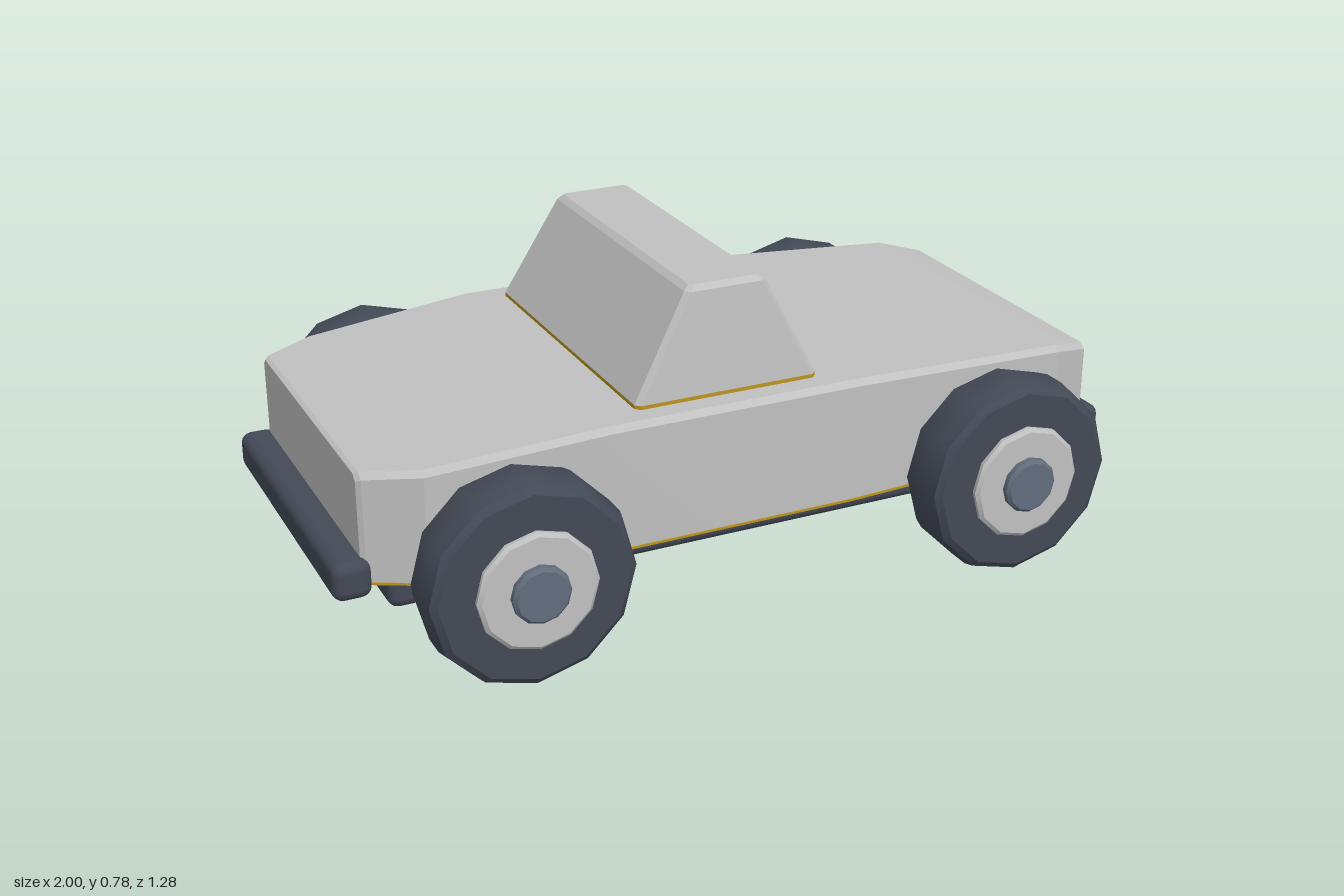
import * as THREE from 'three';
import { toCreasedNormals } from 'three/addons/utils/BufferGeometryUtils.js';
import { RoundedBoxGeometry } from 'three/addons/geometries/RoundedBoxGeometry.js';

const material = (name, color) => {
  const m = new THREE.MeshStandardMaterial({ color });
  m.name = name;
  return m;
};

// Skin a row of convex rings (each counter-clockwise seen from the far end) and cap both ends.
function loft(rings, crease) {
  const out = [];
  const tri = (...pts) => pts.forEach((p) => out.push(...p));
  const n = rings[0].length;
  for (let i = 0; i < rings.length - 1; i++) {
    for (let j = 0; j < n; j++) {
      const k = (j + 1) % n;
      const a = rings[i][j], b = rings[i][k], c = rings[i + 1][k], d = rings[i + 1][j];
      tri(a, b, c);
      tri(a, c, d);
    }
  }
  const first = rings[0], last = rings[rings.length - 1];
  for (let j = 1; j < n - 1; j++) {
    tri(first[0], first[j + 1], first[j]);
    tri(last[0], last[j], last[j + 1]);
  }
  const geo = new THREE.BufferGeometry();
  geo.setAttribute('position', new THREE.Float32BufferAttribute(out, 3));
  return toCreasedNormals(geo, crease);
}

// Body cross-section at x, with chamfered top edges.
function bodyRing(x, w, top, bottom, c) {
  return [
    [x, top, w - c], [x, top - c, w], [x, bottom, w],
    [x, bottom, -w], [x, top - c, -w], [x, top, -w + c],
  ];
}

// Horizontal cabin cross-section with chamfered corners.
function cabinRing(y, x0, x1, w, c) {
  return [
    [x1 - c, y, w], [x1, y, w - c], [x1, y, -w + c], [x1 - c, y, -w],
    [x0 + c, y, -w], [x0, y, -w + c], [x0, y, w - c], [x0 + c, y, w],
  ];
}

// Turn a radius/offset profile about the wheel axle; offset grows towards +z.
function turned(profile, sides, crease) {
  const points = profile.map(([r, z]) => new THREE.Vector2(r, z));
  const geo = new THREE.LatheGeometry(points, sides);
  geo.rotateX(Math.PI / 2);
  return toCreasedNormals(geo, crease);
}

export function createModel() {
  const paint = material('grey paint', 0xc0c0c0);
  const rubber = material('dark slate', 0x434956);
  const steel = material('blue grey', 0x616c7c);
  const ochre = material('ochre underside', 0xbc9420);

  const car = new THREE.Group();
  car.name = 'car';
  const add = (parent, name, geo, mat) => {
    const mesh = new THREE.Mesh(geo, mat);
    mesh.name = name;
    parent.add(mesh);
    return mesh;
  };

  // Body stations: x, half width, top height
  const stations = [
    [-0.93, 0.365, 0.474], [-0.92, 0.375, 0.48], [-0.8, 0.437, 0.487], [-0.38, 0.47, 0.52],
    [0.23, 0.47, 0.52], [0.82, 0.433, 0.49], [0.925, 0.392, 0.465], [0.935, 0.382, 0.457],
  ];
  add(car, 'body', loft(stations.map(([x, w, t]) => bodyRing(x, w, t, 0.222, 0.014)), 0.3), paint);
  add(car, 'bodyUnderside',
    loft(stations.map(([x, w]) => bodyRing(x, w, 0.222, 0.215, 0.001)), 0.3), ochre);

  // Cabin wedge with bevelled corners and roof edge
  add(car, 'cabin', loft([
    cabinRing(0.53, -0.293, 0.163, 0.408, 0.012),
    cabinRing(0.768, -0.157, 0.044, 0.379, 0.012),
    cabinRing(0.78, -0.143, 0.03, 0.366, 0.008),
  ], 0.3), paint);
  add(car, 'cabinBase', loft([
    cabinRing(0.521, -0.293, 0.163, 0.408, 0.012),
    cabinRing(0.53, -0.293, 0.163, 0.408, 0.012),
  ], 0.3), ochre);

  // Chassis slab
  add(car, 'chassis', new RoundedBoxGeometry(1.74, 0.1, 0.74, 2, 0.025), rubber)
    .position.set(0, 0.183, 0);

  // Bumpers
  for (const [name, side, half] of [['frontBumper', 1, 0.385], ['rearBumper', -1, 0.396]]) {
    add(car, name, new RoundedBoxGeometry(0.09, 0.092, half * 2, 2, 0.026), rubber)
      .position.set(side * 0.955, 0.236, 0);
  }

  // Wheels: twelve-sided tyre, hub disc and axle cap
  const tyreGeo = turned([
    [0, 0.455], [0.222, 0.455], [0.236, 0.465], [0.245, 0.5],
    [0.245, 0.56], [0.238, 0.588], [0.222, 0.6], [0, 0.6],
  ], 12, 0.6);
  const hubGeo = turned([[0, 0.59], [0.132, 0.59], [0.141, 0.603], [0.141, 0.612], [0.132, 0.619], [0, 0.619]], 12, 0.6);
  const capGeo = turned([[0, 0.6], [0.068, 0.6], [0.068, 0.632], [0.06, 0.64], [0, 0.64]], 12, 0.6);
  for (const x of [-0.615, 0.62]) {
    for (const side of [1, -1]) {
      const wheel = new THREE.Group();
      wheel.name = (x > 0 ? 'front' : 'rear') + 'Wheel';
      add(wheel, 'tyre', tyreGeo, rubber);
      add(wheel, 'hub', hubGeo, paint);
      add(wheel, 'axleCap', capGeo, steel);
      wheel.position.set(x, 0.245, 0);
      if (side < 0) wheel.rotation.y = Math.PI;
      car.add(wheel);
    }
  }
  return car;
}
